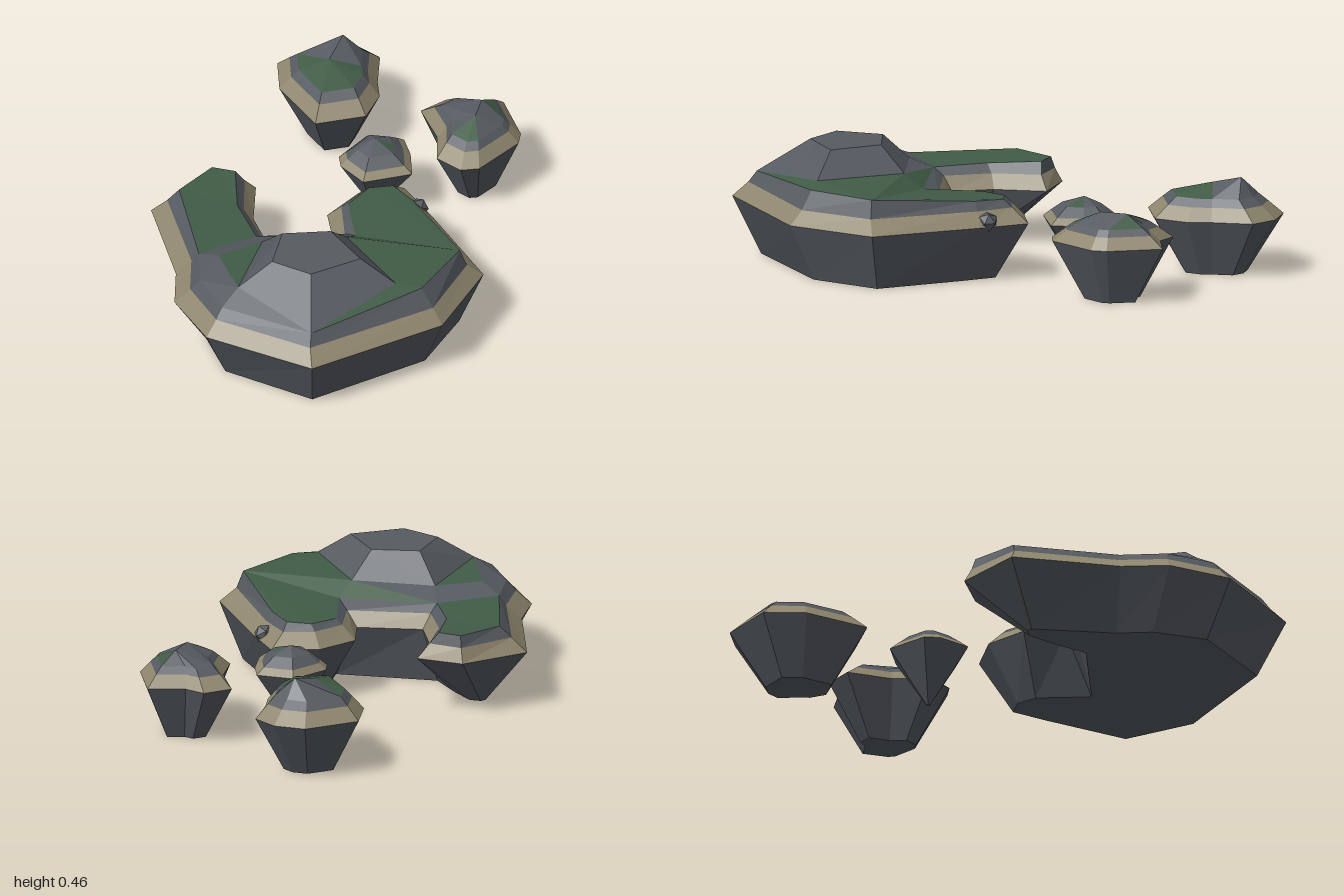
import * as THREE from 'three';

const makeMat = (color) => new THREE.MeshStandardMaterial({ color, flatShading: true, roughness: 1 });
const RIM_Y = 0.225;

export function createModel() {
  const model = new THREE.Group();
  const rock = makeMat(0x565b61), sand = makeMat(0x8f866e), grass = makeMat(0x415c47);

  const addMesh = (group, name, tris, material) => {
    const g = new THREE.BufferGeometry();
    g.setAttribute('position', new THREE.Float32BufferAttribute(tris.flat(2), 3));
    g.computeVertexNormals();
    const mesh = new THREE.Mesh(g, material);
    mesh.name = name;
    group.add(mesh);
  };

  // Wall of triangles joining two rings of equal length
  const band = (low, high) => low.flatMap((a, i) => {
    const j = (i + 1) % low.length;
    return [[a, high[i], low[j]], [high[i], high[j], low[j]]];
  });

  // Turn a triangle so that it faces up (1) or down (-1)
  const facing = ([a, b, c], dir) => {
    const ny = (b[2] - a[2]) * (c[0] - a[0]) - (b[0] - a[0]) * (c[2] - a[2]);
    return ny * dir < 0 ? [a, c, b] : [a, b, c];
  };

  // Polygons given as point indices, fanned from their first point
  const fans = (pts, faces) => faces.flatMap((f) => f.slice(2).map((_, k) =>
    facing([pts[f[0]], pts[f[k + 1]], pts[f[k + 2]]], 1)));

  const level = (outline, y) => outline.map(([x, z]) => [x, y, z]);

  const floor = (ring) => THREE.ShapeUtils.triangulateShape(
    ring.map((p) => new THREE.Vector2(p[0], p[2])), [],
  ).map((t) => facing(t.map((i) => ring[i]), -1));

  // Island: tapering underside, sand shelf, rock bank and a faceted top
  const island = (name, { base, rim, shelf, top, peaks, rockFaces, grassFaces }) => {
    const group = new THREE.Group();
    group.name = name;
    const pts = [...top, ...peaks];
    addMesh(group, 'underside', [...band(base, rim), ...floor(base)], rock);
    addMesh(group, 'beach', band(rim, shelf), sand);
    addMesh(group, 'rockBank', [...band(shelf, top), ...fans(pts, rockFaces)], rock);
    addMesh(group, 'grass', fans(pts, grassFaces), grass);
    model.add(group);
  };

  // Large crescent island
  island('mainIsland', {
    base: level([[-0.56, -0.07], [-0.54, -0.08], [-0.5, -0.06], [-0.46, 0.05], [-0.42, 0.2], [-0.05, 0.35],
      [0.03, 0.15], [0.1, 0.1], [0.18, 0.11], [0.21, 0.25], [0.27, 0.6], [0.055, 0.8],
      [-0.44, 0.89], [-0.69, 0.6], [-0.685, 0.38], [-0.63, 0.25]], 0),
    rim: level([[-0.7, -0.2], [-0.43, -0.3], [-0.27, -0.2], [-0.35, -0.01], [-0.355, 0.155], [-0.11, 0.225],
      [-0.075, 0.065], [0.08, -0.025], [0.265, 0], [0.3, 0.2], [0.355, 0.64], [0.09, 0.9],
      [-0.48, 0.995], [-0.79, 0.66], [-0.825, 0.4], [-0.755, 0.225]], RIM_Y),
    shelf: level([[-0.645, -0.17], [-0.43, -0.27], [-0.32, -0.19], [-0.39, -0.01], [-0.39, 0.18], [-0.08, 0.275],
      [-0.03, 0.1], [0.09, 0.03], [0.21, 0.05], [0.25, 0.2], [0.29, 0.63], [0.07, 0.85],
      [-0.465, 0.935], [-0.74, 0.635], [-0.765, 0.41], [-0.695, 0.235]], 0.28),
    top: [[-0.6, 0.325, -0.16], [-0.43, 0.325, -0.255], [-0.355, 0.325, -0.2], [-0.42, 0.315, 0],
      [-0.42, 0.31, 0.21], [-0.06, 0.31, 0.34], [-0.01, 0.3, 0.12], [0.1, 0.305, 0.055],
      [0.19, 0.31, 0.08], [0.225, 0.315, 0.2], [0.265, 0.35, 0.62], [0.04, 0.35, 0.805],
      [-0.45, 0.325, 0.905], [-0.71, 0.32, 0.62], [-0.73, 0.32, 0.42], [-0.67, 0.315, 0.25]],
    // 16-20 summit, 21-25 shoulder
    peaks: [[-0.39, 0.457, 0.42], [-0.21, 0.457, 0.47], [-0.165, 0.457, 0.68], [-0.38, 0.457, 0.71],
      [-0.49, 0.457, 0.58], [-0.63, 0.37, 0.58], [-0.62, 0.35, 0.33], [-0.43, 0.35, 0.305],
      [-0.12, 0.36, 0.4], [-0.05, 0.365, 0.76]],
    rockFaces: [[16, 17, 18, 19, 20], [15, 4, 23, 22], [15, 22, 14], [14, 22, 21], [14, 21, 13],
      [21, 23, 16, 20], [23, 24, 17, 16], [4, 24, 23], [24, 25, 18, 17], [25, 12, 19, 18],
      [20, 19, 12], [21, 20, 12], [21, 12, 13]],
    grassFaces: [[3, 2, 1, 0, 15, 4], [21, 22, 23], [4, 5, 24], [25, 11, 12],
      [10, 11, 25, 24, 5, 6, 7, 8, 9]],
  });

  // Islets share one outline, scaled about a centre for each ring
  const islet = (name, outline, [cx, cz], [sBase, sShelf, sTop], [yShelf, yTop], rest) => {
    const ring = (s, y) => level(outline.map(([x, z]) => [cx + (x - cx) * s, cz + (z - cz) * s]), y);
    island(name, { base: ring(sBase, 0), rim: ring(1, RIM_Y), shelf: ring(sShelf, yShelf), top: ring(sTop, yTop), ...rest });
  };

  islet('backIslet', [[0.09, -0.94], [0.31, -1], [0.42, -0.94], [0.475, -0.84], [0.41, -0.69], [0.385, -0.6],
    [0.29, -0.495], [0.09, -0.515], [0.04, -0.78]], [0.245, -0.74], [0.48, 0.78, 0.64], [0.275, 0.305], {
    peaks: [[0.32, 0.378, -0.83], [0.23, 0.345, -0.74]],
    rockFaces: [[9, 0, 1], [9, 1, 2], [9, 2, 3], [9, 3, 4], [9, 10, 4], [9, 10, 0]],
    grassFaces: [[10, 4, 5], [10, 5, 6], [10, 6, 7], [10, 7, 8], [10, 8, 0]],
  });

  islet('sideIslet', [[0.5, -0.455], [0.615, -0.49], [0.675, -0.425], [0.82, -0.4], [0.81, -0.18], [0.78, -0.125],
    [0.58, -0.02], [0.51, -0.035], [0.45, -0.14], [0.5, -0.27]], [0.65, -0.24], [0.46, 0.76, 0.62], [0.27, 0.295], {
    peaks: [[0.69, 0.342, -0.29], [0.63, 0.342, -0.2]],
    rockFaces: [[10, 0, 1], [10, 1, 2], [10, 2, 3], [10, 11, 4], [10, 11, 0],
      [11, 4, 5], [11, 5, 6], [11, 8, 9], [11, 9, 0]],
    grassFaces: [[10, 3, 4], [11, 6, 7], [11, 7, 8]],
  });

  islet('smallIslet', [[0.1, -0.28], [0.245, -0.37], [0.375, -0.3], [0.365, -0.2], [0.325, -0.075], [0.13, -0.09],
    [0.085, -0.22]], [0.225, -0.22], [0.05, 0.8, 0.5], [0.25, 0.285], {
    peaks: [[0.23, 0.315, -0.23]],
    rockFaces: [[7, 0, 1], [7, 1, 2], [7, 2, 3], [7, 4, 5], [7, 5, 6], [7, 6, 0]],
    grassFaces: [[7, 3, 4]],
  });

  // Loose stone on the right arm's shore
  const stone = new THREE.Mesh(new THREE.IcosahedronGeometry(0.04, 0), rock);
  stone.name = 'shoreStone';
  stone.position.set(0.265, 0.24, 0.16);
  model.add(stone);

  return model;
}
